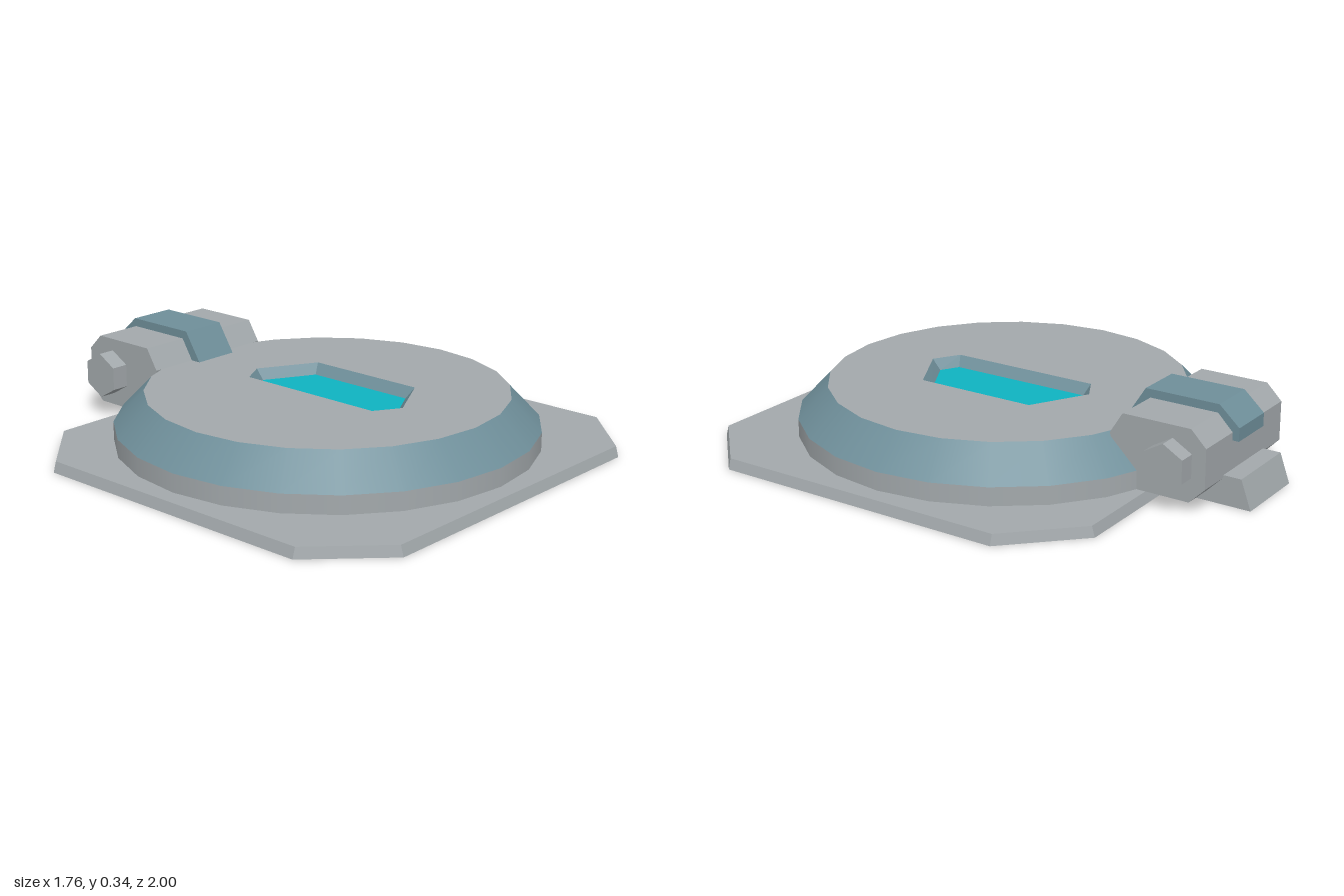
import * as THREE from 'three';

const mat = (name, color, side = THREE.FrontSide) => {
  const m = new THREE.MeshStandardMaterial({ color, side });
  m.name = name;
  return m;
};

// All outlines are lists of [x, z], running from +x towards +z.
const circle = (r, cz, n = 24) => Array.from({ length: n }, (_, i) => {
  const a = (i / n) * Math.PI * 2;
  return [r * Math.sin(Math.PI / 2 - a), cz + r * Math.sin(a)];
});

// Flat-sided band joining two outlines at different heights.
function wall(a, ya, b, yb) {
  const pos = [];
  a.forEach((p, i) => {
    const j = (i + 1) % a.length;
    const a0 = [p[0], ya, p[1]], a1 = [a[j][0], ya, a[j][1]];
    const b0 = [b[i][0], yb, b[i][1]], b1 = [b[j][0], yb, b[j][1]];
    pos.push(...a0, ...b0, ...a1, ...a1, ...b0, ...b1);
  });
  const g = new THREE.BufferGeometry();
  g.setAttribute('position', new THREE.Float32BufferAttribute(pos, 3));
  g.computeVertexNormals();
  return g;
}

// Horizontal face with an optional hole, facing up or down.
function cap(outline, y, up, hole) {
  const s = up ? -1 : 1;
  const pts = (o) => o.map(([x, z]) => new THREE.Vector2(x, s * z));
  const shape = new THREE.Shape(pts(outline));
  if (hole) shape.holes.push(new THREE.Path(pts(hole)));
  return new THREE.ShapeGeometry(shape).rotateX(s * Math.PI / 2).translate(0, y, 0);
}

// Side profile of [z, y] points extruded across x.
function across(profile, width) {
  const shape = new THREE.Shape(profile.map(([z, y]) => new THREE.Vector2(-z, y)));
  return new THREE.ExtrudeGeometry(shape, { depth: width, bevelEnabled: false })
    .rotateY(Math.PI / 2).translate(-width / 2, 0, 0);
}

export function createModel() {
  const grey = mat('light grey metal', 0xa3a9ac);
  const teal = mat('blue grey metal', 0x6f8f9a);
  const cyan = mat('cyan glass', 0x0fb3c1);
  const root = new THREE.Group();
  root.name = 'hatch';
  const group = (name) => {
    const g = new THREE.Group();
    g.name = name;
    root.add(g);
    return g;
  };
  const add = (parent, name, geometry, material) => {
    const m = new THREE.Mesh(geometry, material);
    m.name = name;
    parent.add(m);
    return m;
  };

  // Base plate with clipped corners
  const cz = 0.12;
  const octagon = (d) => [
    [0.88 - d, -0.42], [0.88 - d, 0.75], [0.63, 1 - d], [-0.63, 1 - d],
    [-0.88 + d, 0.75], [-0.88 + d, -0.42], [-0.63, -0.67 + d], [0.63, -0.67 + d],
  ];
  const port = circle(0.65, cz);
  const base = group('basePlate');
  add(base, 'plateEdge', wall(octagon(0), 0, octagon(0.012), 0.04), grey);
  add(base, 'plateTop', cap(octagon(0.012), 0.04, true, port), grey);
  add(base, 'plateUnderside', cap(octagon(0), 0, false, port), grey);

  // Round lid: upright rim, sloped ring, and faces pierced by the window
  const mouth = [[0.22, -0.125], [0.22, 0.36], [0, 0.48], [-0.1, 0.42], [-0.1, -0.19], [0, -0.245]];
  const pane = [[0.19, -0.11], [0.19, 0.34], [0, 0.445], [-0.07, 0.405], [-0.07, -0.175], [0, -0.213]];
  const lid = group('lid');
  const ring = (r0, r1, y0, y1) =>
    new THREE.CylinderGeometry(r1, r0, y1 - y0, 24, 1, true).translate(0, (y0 + y1) / 2, cz);
  add(lid, 'lidRim', ring(0.8, 0.8, 0.04, 0.11), grey);
  add(lid, 'lidSlope', ring(0.8, 0.685, 0.11, 0.23), teal);
  add(lid, 'lidTop', cap(circle(0.685, cz), 0.23, true, mouth), grey);
  add(lid, 'lidUnderside', cap(port, 0, false, mouth), grey);

  // Window sunk into both faces
  const win = group('window');
  add(win, 'upperFrame', wall(mouth, 0.23, pane, 0.19), teal);
  add(win, 'lowerFrame', wall(pane, 0.05, mouth, 0), grey);
  add(win, 'upperPane', cap(pane, 0.19, true), cyan);
  add(win, 'lowerPane', cap(pane, 0.05, false), cyan);

  // Hinge: barrel, strap, hexagonal pins and rear foot
  const hinge = group('hinge');
  add(hinge, 'hingeBarrel', across([
    [-0.51, 0.23], [-0.56, 0.31], [-0.83, 0.31], [-0.89, 0.25],
    [-0.89, 0.1], [-0.83, 0.04], [-0.55, 0.04],
  ], 0.565), grey);
  add(hinge, 'hingeStrap', across([
    [-0.465, 0.225], [-0.54, 0.342], [-0.835, 0.342], [-0.915, 0.27],
    [-0.915, 0.22], [-0.88, 0.22], [-0.88, 0.25], [-0.82, 0.3], [-0.56, 0.3], [-0.52, 0.225],
  ], 0.185), teal);
  add(hinge, 'hingeFoot', across([
    [-0.65, 0], [-0.65, 0.11], [-0.96, 0.11], [-1, 0],
  ], 0.3), grey);
  for (const side of [1, -1]) {
    const pin = new THREE.CylinderGeometry(0.088, 0.088, 0.1, 6).toNonIndexed();
    pin.rotateZ(Math.PI / 2).rotateX(Math.PI / 2).rotateX(Math.PI / 2);
    // Turn one corner of the hexagon upwards
    const p = pin.attributes.position;
    const top = Math.max(...Array.from({ length: p.count }, (_, i) => p.getY(i)));
    if (top < 0.08) pin.rotateX(Math.PI / 6);
    pin.computeVertexNormals();
    pin.translate(side * 0.3, 0.175, -0.76);
    add(hinge, side > 0 ? 'leftPin' : 'rightPin', pin, grey);
  }
  return root;
}
